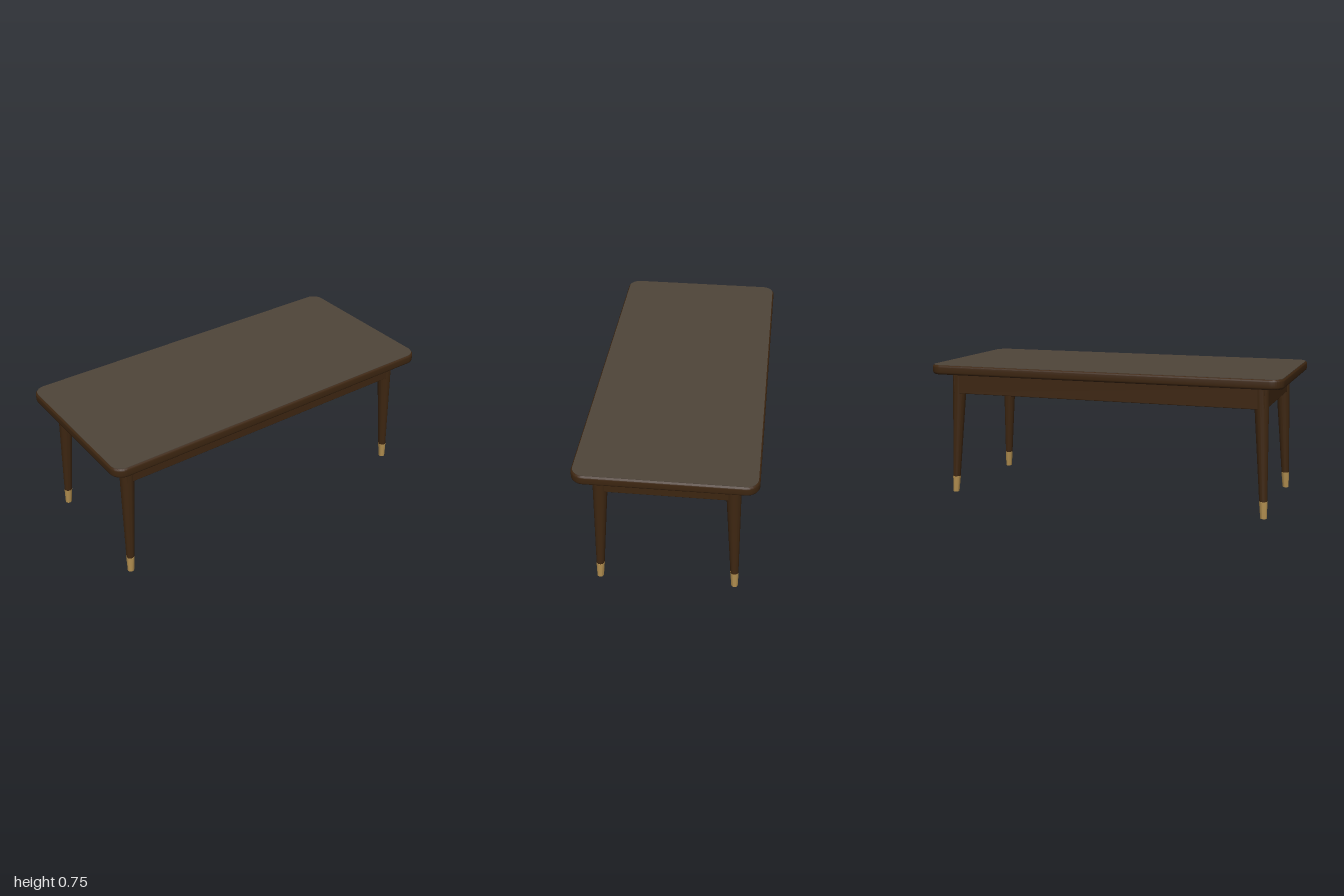
import * as THREE from 'three';
import { toCreasedNormals } from 'three/addons/utils/BufferGeometryUtils.js';
import { RoundedBoxGeometry } from 'three/addons/geometries/RoundedBoxGeometry.js';

const wood = new THREE.MeshStandardMaterial({ color: 0x3d2611 });
wood.name = 'dark wood';
const surface = new THREE.MeshStandardMaterial({ color: 0x4f453a });
surface.name = 'grey brown top';
const brass = new THREE.MeshStandardMaterial({ color: 0xb08d4f });
brass.name = 'brass';

const TOP_Y = 0.752, UNDER_Y = 0.697;

function add(parent, name, geometry, material) {
  const mesh = new THREE.Mesh(geometry, material);
  mesh.name = name;
  parent.add(mesh);
  return mesh;
}

function roundedRect(hx, hz, r) {
  const s = new THREE.Shape();
  s.absarc(hx - r, hz - r, r, 0, Math.PI / 2);
  s.absarc(-hx + r, hz - r, r, Math.PI / 2, Math.PI);
  s.absarc(-hx + r, -hz + r, r, Math.PI, Math.PI * 1.5);
  s.absarc(hx - r, -hz + r, r, Math.PI * 1.5, Math.PI * 2);
  s.closePath();
  return s;
}

// Upright tapered section whose centre drifts outward towards the floor
const centreX = y => 0.905 - 0.05 * y;
const centreZ = y => 0.358 - 0.038 * y;
function legSection(y0, y1, r0, r1, sx, sz) {
  const g = new THREE.CylinderGeometry(r1, r0, y1 - y0, 32, 1);
  g.translate(0, (y0 + y1) / 2, 0);
  const p = g.attributes.position;
  for (let i = 0; i < p.count; i++) {
    const y = p.getY(i);
    p.setX(i, p.getX(i) + sx * centreX(y));
    p.setZ(i, p.getZ(i) + sz * centreZ(y));
  }
  return toCreasedNormals(g, 0.7);
}

export function createModel() {
  const table = new THREE.Group();
  table.name = 'table';

  // Slab with rounded corners and softened edges
  const bevel = 0.014;
  const slab = new THREE.ExtrudeGeometry(roundedRect(1 - bevel, 0.463 - bevel, 0.055), {
    depth: TOP_Y - UNDER_Y - 2 * bevel - 0.001,
    bevelEnabled: true, bevelThickness: bevel, bevelSize: bevel, bevelSegments: 4, curveSegments: 10,
  });
  slab.rotateX(-Math.PI / 2).translate(0, UNDER_Y + bevel, 0);
  add(table, 'tableTop', toCreasedNormals(slab, 0.6), wood);

  // Thin facing over the slab
  const facing = new THREE.ExtrudeGeometry(roundedRect(0.992, 0.455, 0.062), {
    depth: 0.004, bevelEnabled: false, curveSegments: 10,
  });
  facing.rotateX(-Math.PI / 2).translate(0, TOP_Y - 0.004, 0);
  add(table, 'topFacing', facing, surface);

  // Apron boards between the legs
  const h = UNDER_Y - 0.58, y = (UNDER_Y + 0.58) / 2;
  for (const s of [1, -1]) {
    add(table, s > 0 ? 'frontApron' : 'backApron', new RoundedBoxGeometry(1.79, h, 0.034, 2, 0.004), wood)
      .position.set(0, y, s * 0.353);
    add(table, s > 0 ? 'leftApron' : 'rightApron', new RoundedBoxGeometry(0.034, h, 0.72, 2, 0.004), wood)
      .position.set(s * 0.886, y, 0);
  }

  // Four splayed legs with brass tips
  for (const sx of [1, -1]) for (const sz of [1, -1]) {
    const leg = new THREE.Group();
    leg.name = (sz > 0 ? 'front' : 'back') + (sx > 0 ? 'Left' : 'Right') + 'Leg';
    add(leg, 'legShaft', legSection(0.09, UNDER_Y + 0.003, 0.0215, 0.041, sx, sz), wood);
    add(leg, 'legTip', legSection(0, 0.092, 0.0175, 0.0225, sx, sz), brass);
    table.add(leg);
  }
  return table;
}
